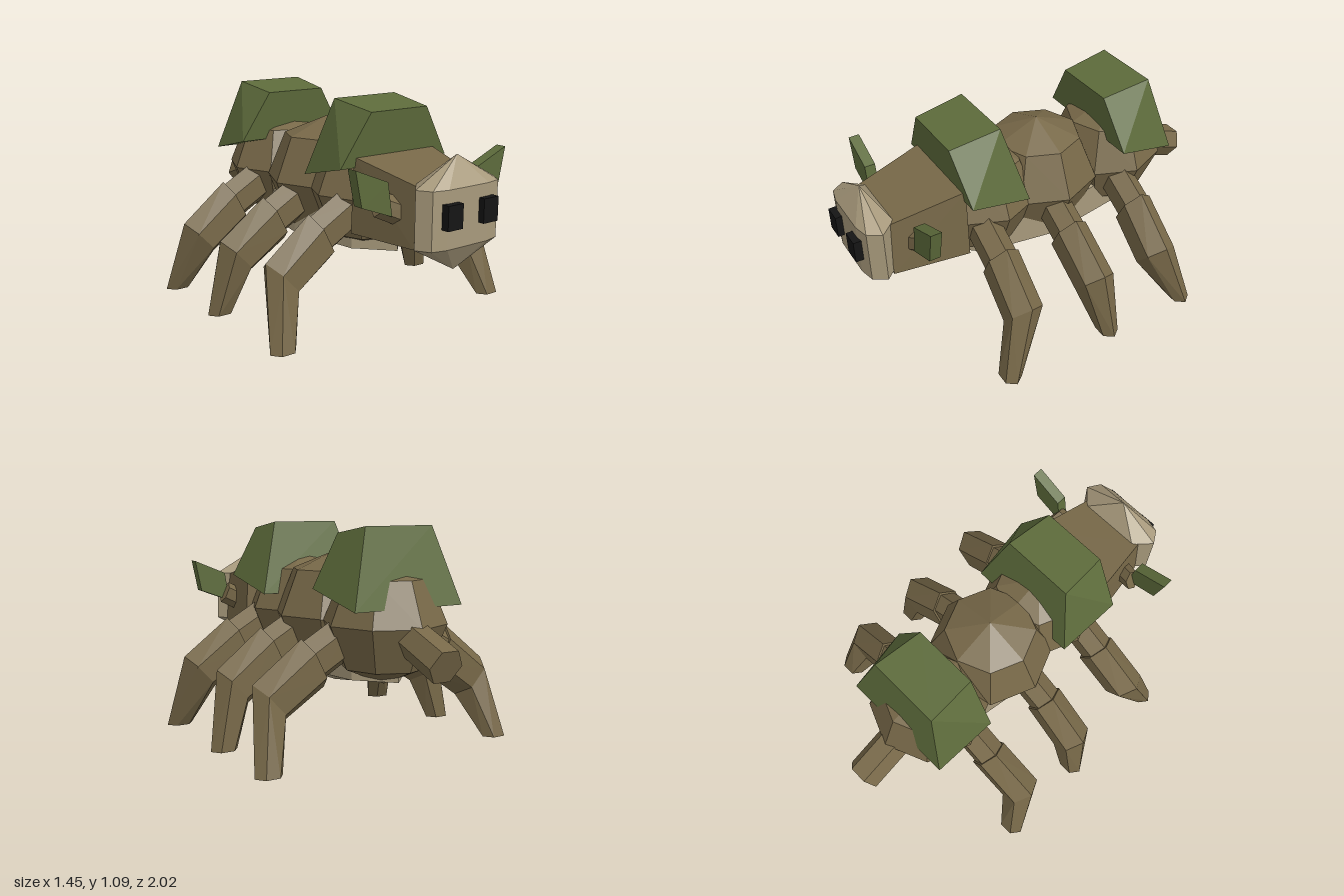
import * as THREE from 'three';
import { ConvexGeometry } from 'three/addons/geometries/ConvexGeometry.js';

const mat = (color) => new THREE.MeshStandardMaterial({ color, flatShading: true });
const V = (x, y, z) => new THREE.Vector3(x, y, z);

export function createModel() {
  const model = new THREE.Group();
  const brown = mat(0x776848), green = mat(0x5d6b3b), tan = mat(0xa89a7c), black = mat(0x151515);

  const add = (name, geometry, material, parent = model) => {
    const mesh = new THREE.Mesh(geometry, material);
    mesh.name = name;
    parent.add(mesh);
    return mesh;
  };
  const hull = (name, points, material, parent) => add(name, new ConvexGeometry(points), material, parent);
  // Rectangle corners at depth z: [half width, y] for the lower and upper edge
  const pair = (w, y, z) => [V(-w, y, z), V(w, y, z)];

  // Body: three faceted balls in a row
  for (const [name, r, z] of [['frontBody', 0.3, 0.26], ['middleBody', 0.32, -0.08], ['rearBody', 0.3, -0.52]]) {
    add(name, new THREE.SphereGeometry(r, 8, 4), brown).position.set(0, 0.635, z);
  }

  // Pale belly plate
  const belly = new THREE.SphereGeometry(1, 8, 3);
  belly.scale(0.254, 0.17, 0.66);
  add('belly', belly, tan).position.set(0, 0.445, -0.07);

  // Neck tapering towards the head
  hull('neck', [
    ...pair(0.2, 0.49, 0.84), ...pair(0.18, 0.77, 0.84),
    ...pair(0.255, 0.485, 0.46), ...pair(0.24, 0.85, 0.46),
  ], brown);

  // Head: a flat prism with a point above and below
  const headPoints = [V(0, 0.905, 0.885), V(0, 0.375, 0.885)];
  for (const y of [0.775, 0.507]) {
    for (const [w, z] of [[0.238, 0.885], [0.197, 0.95], [0.12, 0.968], [0.16, 0.8]]) {
      headPoints.push(...pair(w, y, z));
    }
  }
  hull('head', headPoints, tan);

  // Green back shells, the same form twice
  for (const [name, z] of [['frontShell', 0], ['rearShell', -0.87]]) {
    hull(name, [
      ...pair(0.17, 1.055, 0.5), ...pair(0.187, 1.093, 0.237),
      ...pair(0.325, 0.8, 0.47), ...pair(0.3, 0.72, 0.145),
    ], green).position.z = z;
  }

  // Tail stub, sloping down to the back
  const tail = new THREE.CylinderGeometry(0.09, 0.09, 0.32, 6);
  tail.rotateY(Math.PI / 2);
  tail.rotateX(-Math.PI / 2 - 0.36);
  add('tail', tail, brown).position.set(0, 0.55, -0.838);

  // Six-sided ring: centre c, in-plane half axis (ux, uy), half depth b
  const ring = (s, [x, y, z], [ux, uy], b) => {
    const points = [];
    for (let i = 0; i < 6; i++) {
      const a = (i * Math.PI) / 3;
      const k = Math.cos(a);
      points.push(V(s * (x + ux * k), y + uy * k, z + (b * Math.sin(a)) / 0.866));
    }
    return points;
  };

  for (const s of [1, -1]) {
    const side = s > 0 ? 'left' : 'right';

    // Legs: thigh, shin and foot; depth at hip, knee and ground
    for (const [name, hipZ, kneeZ, footZ] of [
      ['Front', 0.35, 0.36, 0.48], ['Middle', -0.05, -0.06, -0.105], ['Rear', -0.46, -0.45, -0.58],
    ]) {
      const leg = new THREE.Group();
      leg.name = side + name + 'Leg';
      model.add(leg);
      const knee = ring(s, [0.583, 0.3, kneeZ], [0.083, 0.09], 0.085);
      hull('thigh', [
        ...ring(s, [0.18, 0.575, hipZ], [0.05, 0.095], 0.072),
        ...ring(s, [0.39, 0.455, hipZ], [0.05, 0.095], 0.072),
      ], brown, leg);
      hull('shin', [...ring(s, [0.36, 0.462, hipZ], [0.06, 0.118], 0.082), ...knee], brown, leg);
      hull('foot', [...knee, ...ring(s, [0.655, 0, footZ], [0.07, 0], 0.046)], brown, leg);
    }

    // Ear stem and leaf
    hull('' + side + 'EarStem', [
      ...ring(s, [0.17, 0.63, 0.72], [-0.02, 0.06], 0.045),
      ...ring(s, [0.28, 0.68, 0.69], [-0.025, 0.055], 0.04),
    ], brown);
    const leaf = [];
    for (const [x, y] of [[0.455, 0.865], [0.42, 0.695], [0.25, 0.63], [0.275, 0.79]]) {
      leaf.push(V(s * x, y, 0.695), V(s * x, y, 0.75));
    }
    hull(side + 'EarLeaf', leaf, green);

    // Square eye
    add(side + 'Eye', new THREE.BoxGeometry(0.088, 0.113, 0.06), black).position.set(s * 0.107, 0.659, 0.97);
  }
  return model;
}
